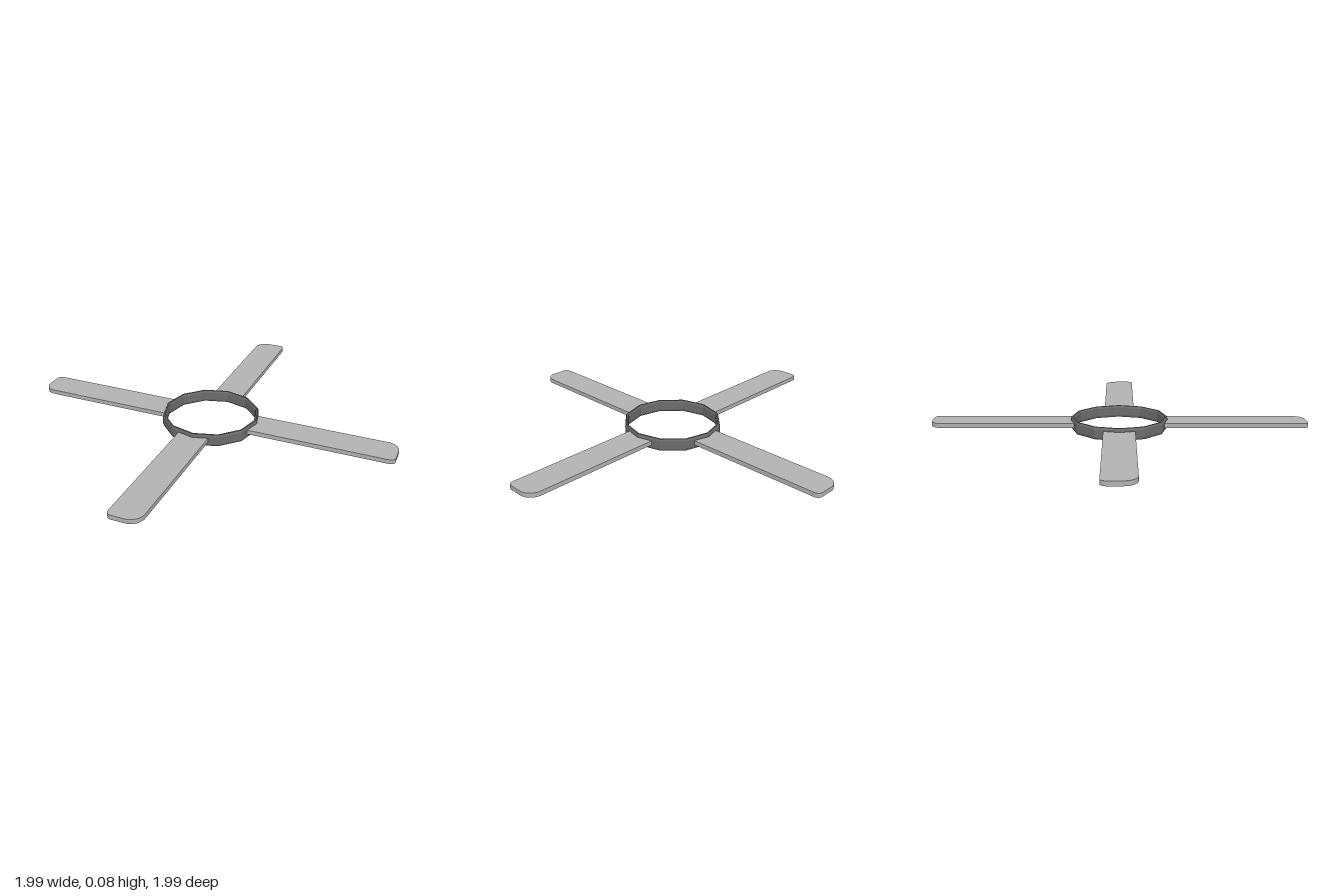
import * as THREE from 'three';

const rad = THREE.MathUtils.degToRad;

// Twelve-sided chamfered band, faceted
function ringGeometry() {
  const outer = 0.331, inner = 0.309, c = 0.006, cy = 0.015, h = 0.083;
  const profile = [
    [inner + c, 0], [outer - c, 0], [outer, cy], [outer, h - cy],
    [outer - c, h], [inner + c, h], [inner, h - cy], [inner, cy], [inner + c, 0],
  ].map(([r, y]) => new THREE.Vector2(r, y));
  const g = new THREE.LatheGeometry(profile, 12, rad(19.5)).toNonIndexed();
  g.computeVertexNormals();
  return g;
}

// Flat blade along +x: one wide and one tight corner at the tip, root fitted to the ring
function bladeGeometry() {
  const w = 0.105, tip = 1.277, big = 0.085, small = 0.035, thick = 0.03;
  const s = new THREE.Shape();
  s.moveTo(0.292, -w);
  s.lineTo(tip - big, -w);
  s.absarc(tip - big, -w + big, big, -Math.PI / 2, 0, false);
  s.lineTo(tip, w - small);
  s.absarc(tip - small, w - small, small, 0, Math.PI / 2, false);
  s.lineTo(0.292, w);
  s.lineTo(0.32, 0);
  const g = new THREE.ExtrudeGeometry(s, { depth: thick, bevelEnabled: false, curveSegments: 8 });
  g.rotateX(Math.PI / 2);
  g.translate(0, 0.058, 0);
  return g;
}

export function createModel() {
  const bladeGrey = new THREE.MeshStandardMaterial({ color: 0xb2b2b2 });
  bladeGrey.name = 'blade grey';
  const ringGrey = new THREE.MeshStandardMaterial({ color: 0x6c6c6c });
  ringGrey.name = 'ring dark grey';

  const model = new THREE.Group();
  model.name = 'rotor';

  const ring = new THREE.Mesh(ringGeometry(), ringGrey);
  ring.name = 'hubRing';
  model.add(ring);

  // Four blades, a quarter turn apart
  const geometry = bladeGeometry();
  for (let i = 0; i < 4; i++) {
    const blade = new THREE.Mesh(geometry, bladeGrey);
    blade.name = `blade${i + 1}`;
    blade.rotation.y = -rad(41.2 + 90 * i);
    model.add(blade);
  }
  return model;
}
